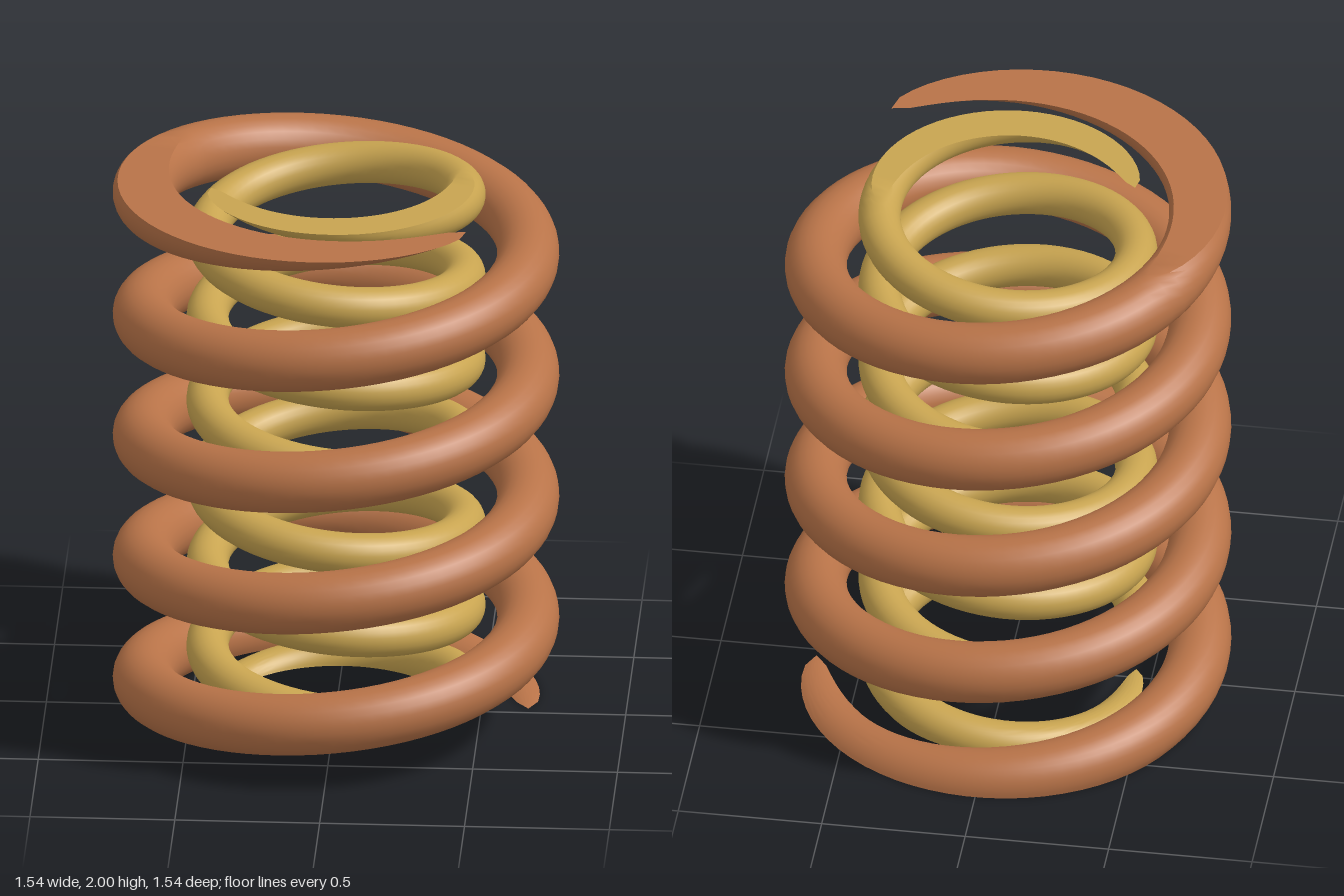
import * as THREE from 'three';
import { toCreasedNormals } from 'three/addons/utils/BufferGeometryUtils.js';

const HEIGHT = 2;
const clamp = (v) => THREE.MathUtils.clamp(v, -1, 1);

// Helical wire whose two ends are ground flat at y = 0 and y = HEIGHT.
// leftY: height of the wire centre where it first passes the -x side.
// hand: +1 rises from -x over the front (+z), -1 rises over the back.
function coilGeometry({ radius, wire, pitch, leftY, hand }) {
  const half = 12; // steps along each half of the wire section
  const ringSize = 2 * (half + 1);
  const wireY = wire * Math.hypot(1, pitch / (2 * Math.PI * radius)); // upright section is slightly taller
  const startY = -wireY;
  const endY = HEIGHT + wireY;
  const rings = Math.ceil(((endY - startY) / pitch) * 72);
  const positions = [];
  const indices = [];

  for (let i = 0; i <= rings; i++) {
    const y = THREE.MathUtils.lerp(startY, endY, i / rings);
    const turn = ((y - leftY) / pitch) * 2 * Math.PI;
    // angles at which the ground planes cut the section
    const low = Math.asin(clamp(-y / wireY));
    const high = Math.asin(clamp((HEIGHT - y) / wireY));
    for (let j = 0; j < ringSize; j++) {
      const outer = j <= half;
      const k = outer ? j : ringSize - 1 - j;
      const lift = THREE.MathUtils.lerp(low, high, k / half);
      const r = radius + (outer ? 1 : -1) * wire * Math.cos(lift);
      positions.push(-r * Math.cos(turn), y + wireY * Math.sin(lift), hand * r * Math.sin(turn));
    }
  }

  for (let i = 0; i < rings; i++) {
    for (let j = 0; j < ringSize; j++) {
      const next = (j + 1) % ringSize;
      const a = i * ringSize + j;
      const b = i * ringSize + next;
      const c = a + ringSize;
      const d = b + ringSize;
      if (hand > 0) indices.push(a, c, b, b, c, d);
      else indices.push(a, b, c, b, d, c);
    }
  }

  const geometry = new THREE.BufferGeometry();
  geometry.setAttribute('position', new THREE.Float32BufferAttribute(positions, 3));
  geometry.setIndex(indices);
  return toCreasedNormals(geometry, 0.6);
}

function coil(name, color, options) {
  const mesh = new THREE.Mesh(coilGeometry(options), new THREE.MeshStandardMaterial({ color }));
  mesh.name = name;
  return mesh;
}

export function createModel() {
  const group = new THREE.Group();
  group.name = 'nestedSprings';
  group.add(
    // thick outer spring
    coil('outerSpring', 0xb87348, { radius: 0.663, wire: 0.107, pitch: 0.455, leftY: 0.116, hand: 1 }),
    // thinner inner spring, wound the other way
    coil('innerSpring', 0xc8a450, { radius: 0.443, wire: 0.073, pitch: 0.308, leftY: 0.24, hand: -1 }),
  );
  return group;
}
